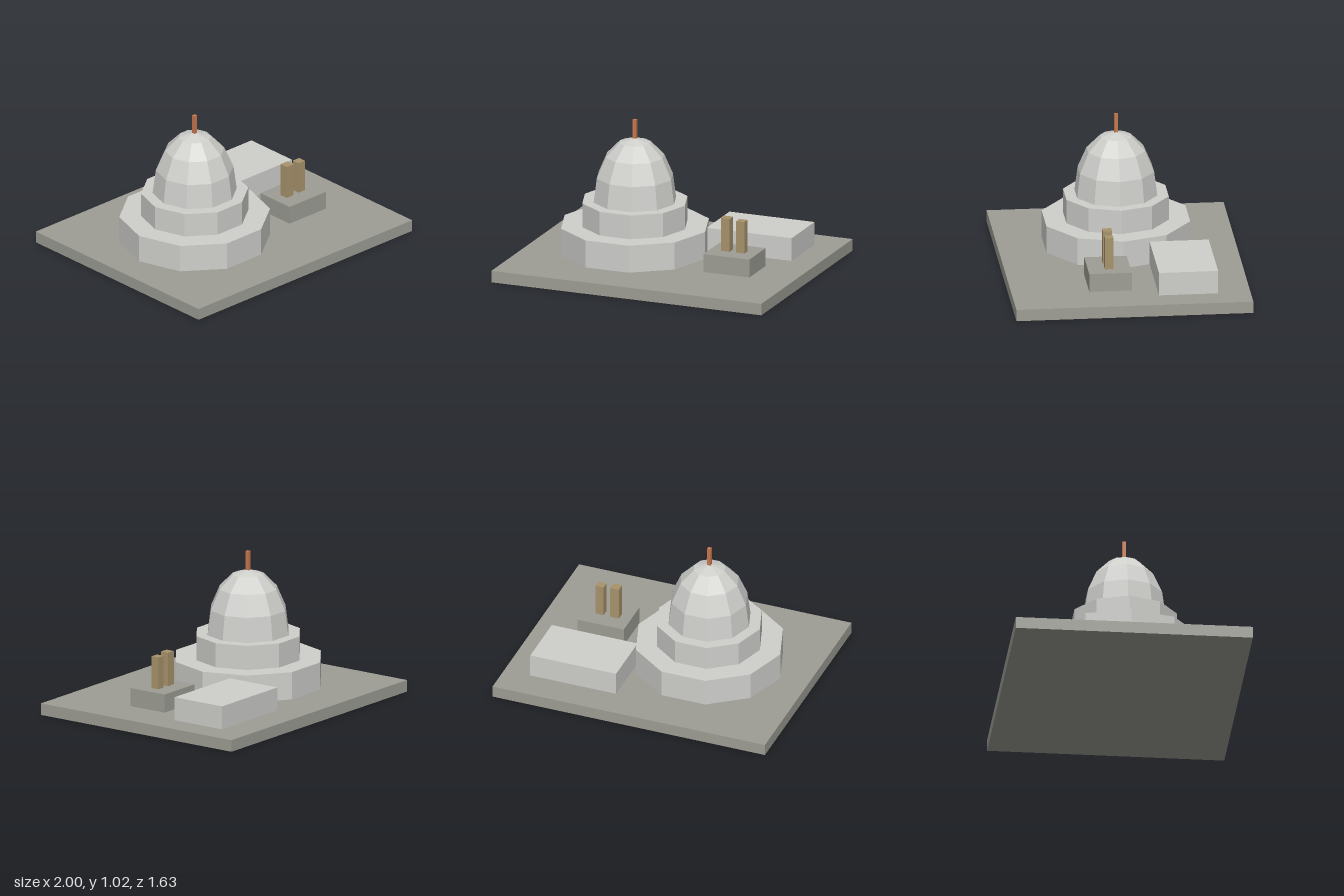
import * as THREE from 'three';

export function createModel() {
  const model = new THREE.Group();
  model.name = 'domedMonument';

  const paint = (name, color) => {
    const m = new THREE.MeshStandardMaterial({ color });
    m.name = name;
    return m;
  };
  const paleStone = paint('paleStone', 0xcfcfcc);
  const greyStone = paint('greyStone', 0x9e9e96);
  const sandstone = paint('sandstone', 0xa8946c);
  const copper = paint('copper', 0xc87850);

  const add = (name, geometry, material, x, y, z) => {
    const mesh = new THREE.Mesh(geometry, material);
    mesh.name = name;
    mesh.position.set(x, y, z);
    model.add(mesh);
    return mesh;
  };

  // Box given by its extents on each axis
  const block = (name, material, [x0, x1], [y0, y1], [z0, z1]) =>
    add(name, new THREE.BoxGeometry(x1 - x0, y1 - y0, z1 - z0), material,
      (x0 + x1) / 2, (y0 + y1) / 2, (z0 + z1) / 2);

  // Ground slab
  block('groundSlab', greyStone, [-1, 1], [0, 0.082], [-0.815, 0.815]);

  // Ten-sided stepped tiers, with corners on the x axis
  const cx = -0.275;
  const sides = 10;
  const tier = (name, radius, y0, y1) => {
    const g = new THREE.CylinderGeometry(radius, radius, y1 - y0, sides).rotateY(Math.PI / 2).toNonIndexed();
    g.computeVertexNormals();
    add(name, g, paleStone, cx, (y0 + y1) / 2, 0);
  };
  tier('lowerTier', 0.52, 0.082, 0.275);
  tier('upperTier', 0.37, 0.275, 0.445);

  // Faceted, tall half-dome
  const dome = new THREE.SphereGeometry(0.29, sides, 4, 0, Math.PI * 2, 0, Math.PI / 2)
    .scale(1, 1.54, 1).toNonIndexed();
  dome.computeVertexNormals();
  add('dome', dome, paleStone, cx, 0.445, 0);

  // Spire
  block('spire', copper, [cx - 0.0125, cx + 0.0125], [0.87, 1.02], [-0.0125, 0.0125]);

  // Side hall
  block('sideHall', paleStone, [0.18, 0.81], [0.082, 0.245], [-0.592, -0.185]);

  // Plinth with two pillars
  block('plinth', greyStone, [0.35, 0.69], [0.082, 0.21], [-0.01, 0.282]);
  block('tallPillar', sandstone, [0.431, 0.496], [0.21, 0.445], [0.105, 0.168]);
  block('shortPillar', sandstone, [0.544, 0.604], [0.21, 0.435], [0.107, 0.165]);

  return model;
}
